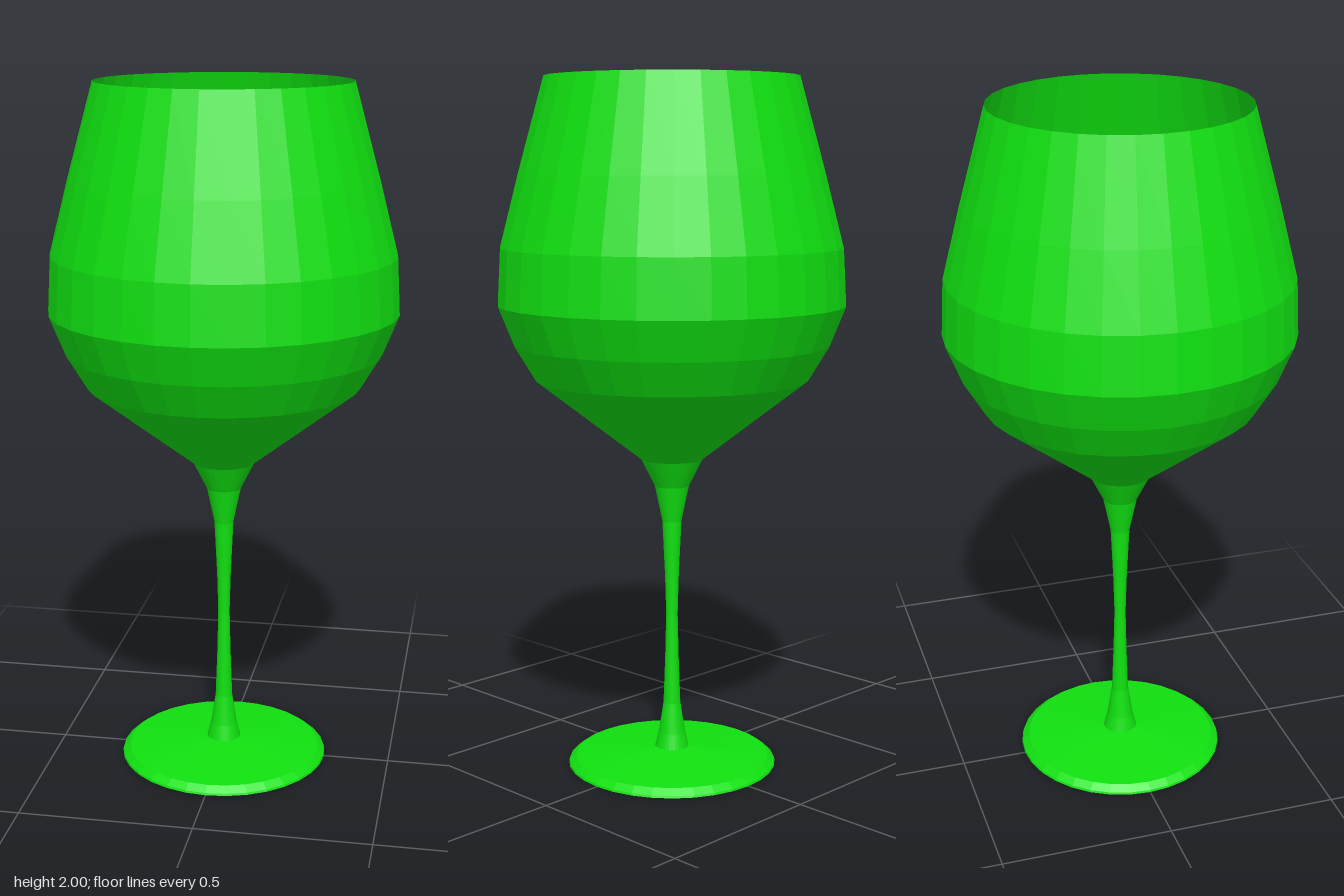
import * as THREE from 'three';

const SIDES = 32;

export function createModel() {
  const group = new THREE.Group();
  group.name = 'wineGlass';
  const green = new THREE.MeshStandardMaterial({
    color: 0x10e010, flatShading: true, side: THREE.DoubleSide,
  });

  // Thin shell turned around the y axis from [radius, height] points, bottom to top
  const turned = (name, profile) => {
    const points = profile.map(([r, y]) => new THREE.Vector2(r, y));
    const mesh = new THREE.Mesh(new THREE.LatheGeometry(points, SIDES), green);
    mesh.name = name;
    group.add(mesh);
  };

  // Foot: shallow cone with a short rim, open underneath
  turned('foot', [[0.307, 0], [0.305, 0.006], [0.285, 0.022], [0.05, 0.046]]);

  // Hollow stem, flared at both ends
  turned('stem', [
    [0.05, 0.046], [0.039, 0.09], [0.025, 0.18], [0.02, 0.32], [0.017, 0.45],
    [0.02, 0.56], [0.028, 0.73], [0.05, 0.835], [0.09, 0.915],
  ]);

  // Bowl, open at the top
  turned('bowl', [
    [0.09, 0.915], [0.392, 1.15], [0.452, 1.25], [0.497, 1.363],
    [0.488, 1.525], [0.435, 1.73], [0.36, 2],
  ]);

  // Flat liquid surface at the widest part of the bowl
  const liquid = new THREE.Mesh(new THREE.CircleGeometry(0.495, SIDES), green);
  liquid.name = 'liquidSurface';
  liquid.rotation.x = -Math.PI / 2;
  liquid.position.y = 1.363;
  group.add(liquid);

  return group;
}
